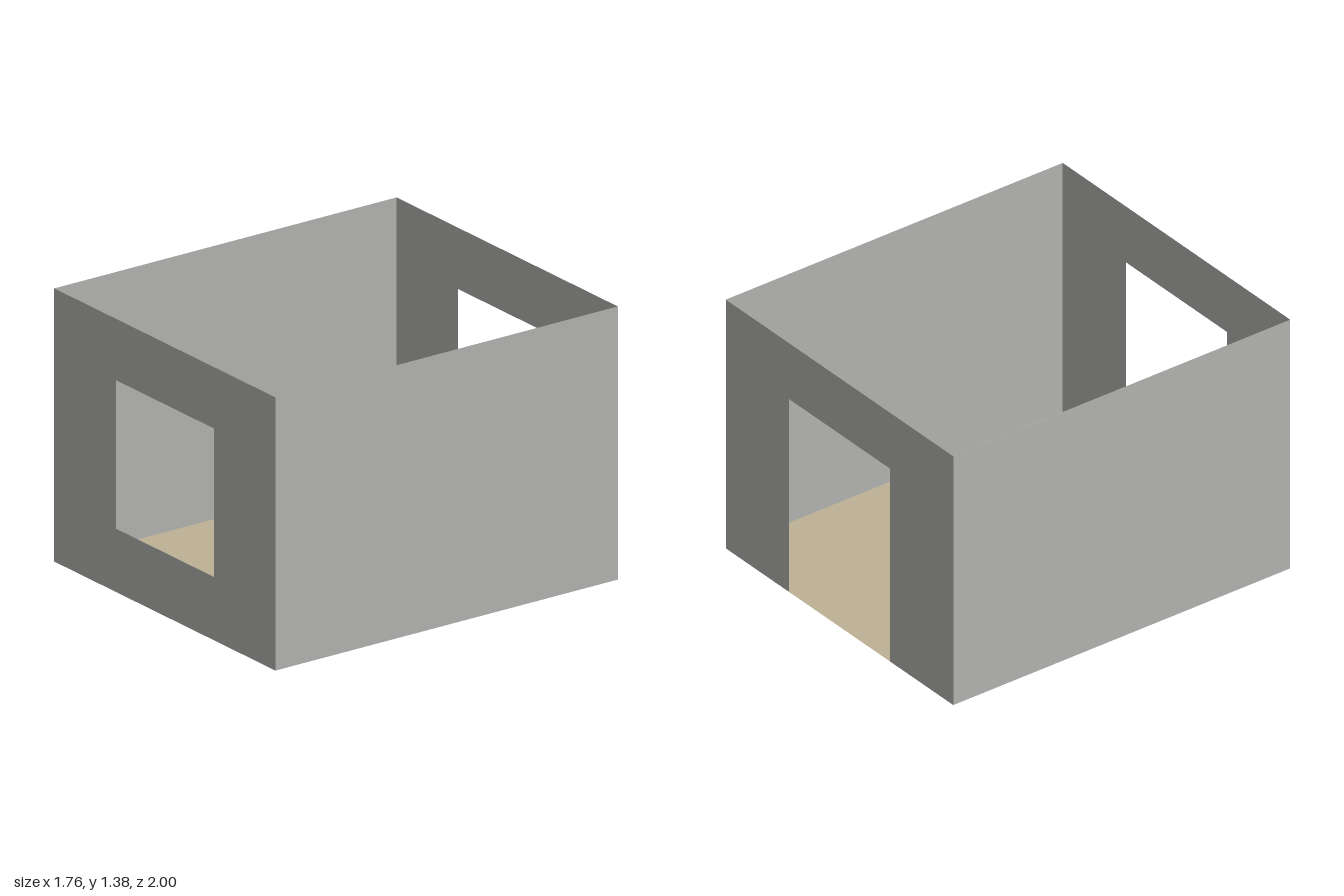
import * as THREE from 'three';

const W = 0.88, D = 1, H = 1.38; // half width, half depth, wall height
const OPEN = 0.39, LINTEL = 1.07, SILL = 0.32;

const wallMaterial = new THREE.MeshStandardMaterial({ color: 0xb2b2b0, side: THREE.DoubleSide });
wallMaterial.name = 'wall grey';
const floorMaterial = new THREE.MeshStandardMaterial({ color: 0xbdb295, side: THREE.DoubleSide });
floorMaterial.name = 'floor tan';

// Thin sheet outlined by [x, y] corners
function outline(points, Type = THREE.Shape) {
  return new Type(points.map(([x, y]) => new THREE.Vector2(x, y)));
}

export function createModel() {
  const group = new THREE.Group();
  group.name = 'openRoom';
  const add = (name, geometry, material, x = 0, y = 0, z = 0) => {
    const mesh = new THREE.Mesh(geometry, material);
    mesh.name = name;
    mesh.position.set(x, y, z);
    group.add(mesh);
    return mesh;
  };

  // Floor
  add('floor', new THREE.PlaneGeometry(2 * W, 2 * D).rotateX(-Math.PI / 2), floorMaterial);

  // Plain side walls, facing outwards
  for (const [name, side] of [['leftWall', 1], ['rightWall', -1]]) {
    const wall = new THREE.PlaneGeometry(2 * D, H).rotateY(side * Math.PI / 2);
    add(name, wall, wallMaterial, side * W, H / 2, 0);
  }

  // Front wall with a window opening
  const front = outline([[-W, 0], [W, 0], [W, H], [-W, H]]);
  front.holes.push(outline([[-OPEN, SILL], [-OPEN, LINTEL], [OPEN, LINTEL], [OPEN, SILL]], THREE.Path));
  add('frontWindowWall', new THREE.ShapeGeometry(front), wallMaterial, 0, 0, D);

  // Back wall with a doorway down to the floor
  const back = outline([
    [-W, 0], [-OPEN, 0], [-OPEN, LINTEL], [OPEN, LINTEL],
    [OPEN, 0], [W, 0], [W, H], [-W, H],
  ]);
  add('backDoorWall', new THREE.ShapeGeometry(back).rotateY(Math.PI), wallMaterial, 0, 0, -D);

  return group;
}
